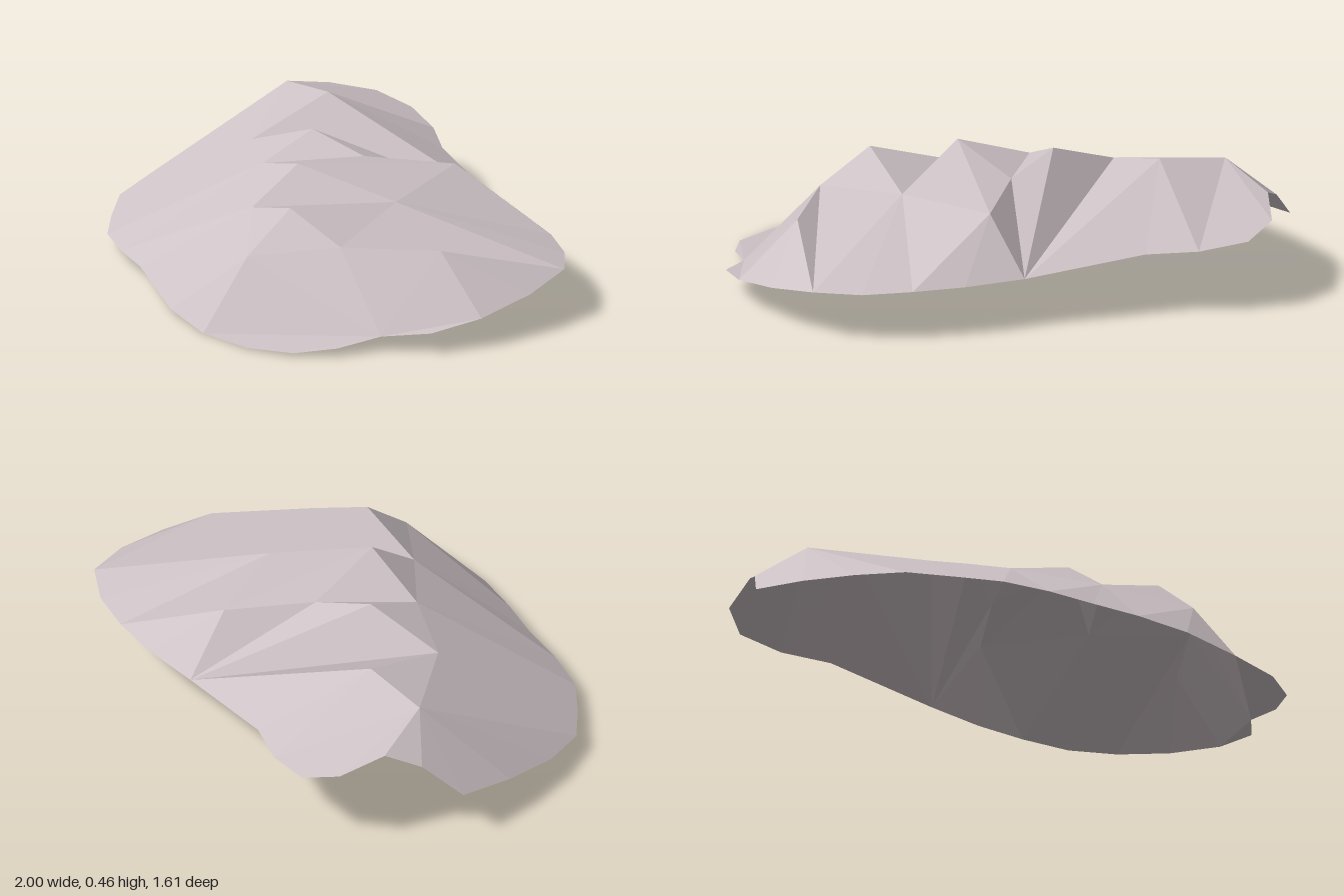
import * as THREE from 'three';

// Outline of the open shell, running from the left edge round the front (x, y, z)
const rim = [
  [-0.99, 0.18, -0.39], [-1, 0.14, -0.16], [-0.98, 0.1, 0.07], [-0.92, 0.075, 0.26],
  [-0.8, 0.06, 0.39], [-0.67, 0.05, 0.51], [-0.5, 0.05, 0.58], [-0.32, 0.05, 0.63],
  [-0.15, 0.04, 0.7], [0.04, 0.02, 0.77], [0.27, 0, 0.8], [0.5, 0.005, 0.78],
  [0.67, 0.015, 0.7], [0.76, 0.03, 0.57], [0.81, 0.055, 0.41], [0.95, 0.08, 0.29],
  [1, 0.11, 0.1], [0.99, 0.15, -0.13], [0.93, 0.185, -0.33], [0.79, 0.185, -0.44],
  [0.62, 0.19, -0.51], [0.43, 0.19, -0.555], [0.2, 0.19, -0.58], [-0.24, 0.24, -0.68],
  [-0.41, 0.25, -0.77], [-0.59, 0.27, -0.81], [-0.72, 0.31, -0.75], [-0.79, 0.355, -0.59],
  [-0.88, 0.3, -0.49],
];

// Peaks and valleys of the zigzag crest
const crest = {
  a: [-0.74, 0.425, -0.36], b: [-0.48, 0.46, -0.345], c: [-0.48, 0.355, 0],
  d: [-0.2, 0.46, -0.06], e: [-0.22, 0.37, 0.155], f: [0.05, 0.455, 0.2],
  g: [0.02, 0.32, 0.385], h: [0.29, 0.4, 0.42], i: [0.27, 0.25, 0.6],
  j: [0.52, 0.305, 0.37], k: [0.76, 0.3, 0.1], l: [0.38, 0.36, 0.01],
  m: [0.01, 0.4, -0.13], n: [0.23, 0.38, -0.375],
};

const point = (key) => crest[key] ?? rim[Number(key)];

// Each string is a triangle fan: the hub first, then its neighbours in turn
function facetedSheet(name, fans, material) {
  const positions = [];
  for (const fan of fans) {
    const [hub, ...ring] = fan.split(' ').map(point);
    for (let s = 0; s < ring.length - 1; s++) positions.push(...hub, ...ring[s], ...ring[s + 1]);
  }
  const geometry = new THREE.BufferGeometry();
  geometry.setAttribute('position', new THREE.Float32BufferAttribute(positions, 3));
  geometry.computeVertexNormals();
  const mesh = new THREE.Mesh(geometry, material);
  mesh.name = name;
  return mesh;
}

export function createModel() {
  const stone = new THREE.MeshStandardMaterial({ color: 0xcdc2c6, side: THREE.DoubleSide, flatShading: true });
  stone.name = 'pale stone';

  const group = new THREE.Group();
  group.name = 'rock';
  group.add(
    // Long slope below the crest, wrapping from the left round to the front
    facetedSheet('frontSlope', [
      'a 24 25 26 27 28 0 1 2 3 c b', 'c 3 4 5 e d', 'e 5 6 g f', 'g 6 7 8 i h', 'i 8 9 10',
    ], stone),
    // Steep facets on the right-hand side
    facetedSheet('sideSlope', ['i 10 14 j h', 'k j 14 16 17 18 j'], stone),
    // Gullies and ridges running to the back edge
    facetedSheet('backRidges', [
      'l h j 18 19 20 n f g h', 'n 20 21 22 m f', 'm 22 d e f', '22 b c d', 'b 22 23 24 a',
    ], stone),
    // Thin ledge at the foot of the side slope
    facetedSheet('ledge', ['14 10 11 12 13', '16 14 15'], stone),
  );
  return group;
}
